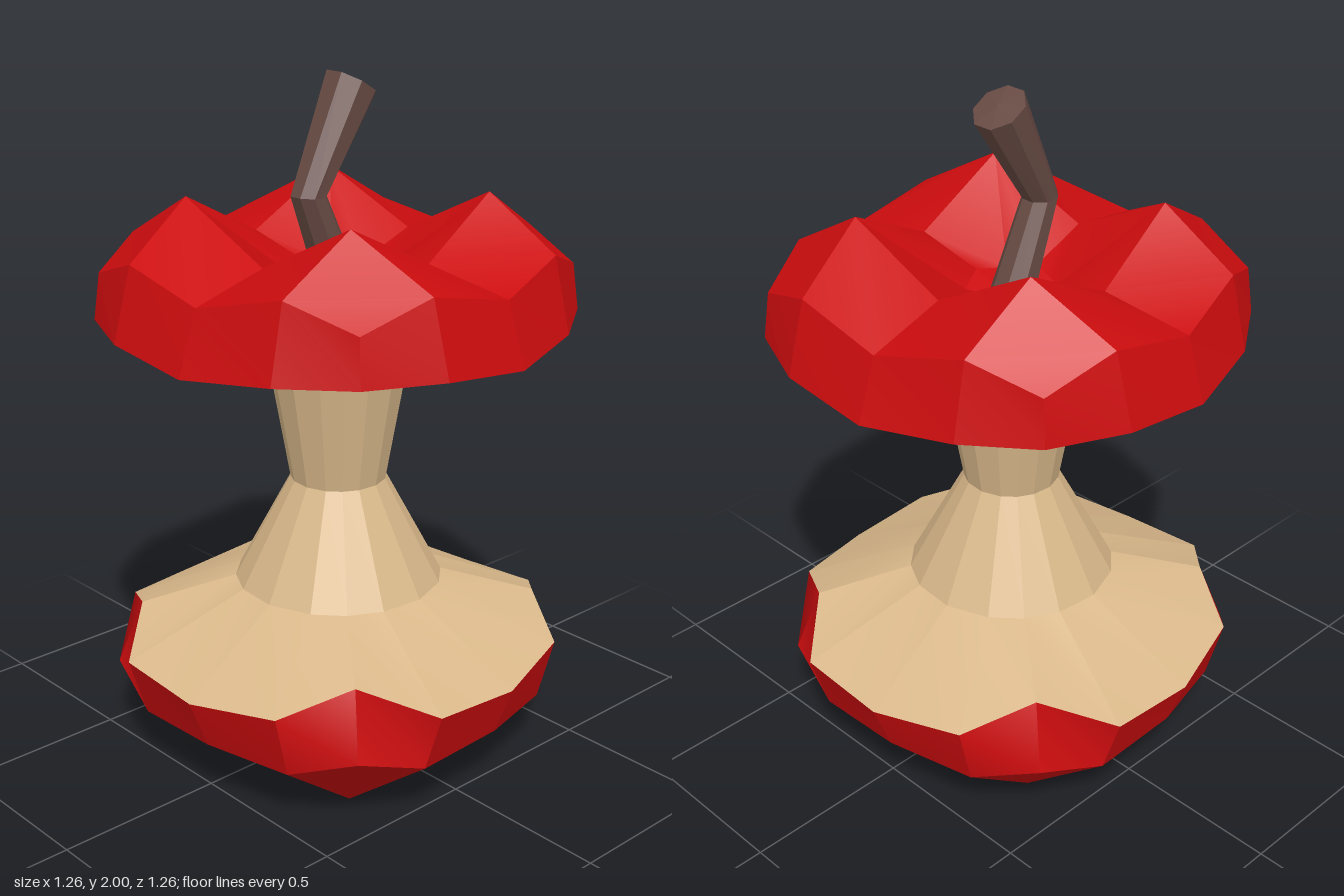
import * as THREE from 'three';

const material = (name, color) => {
  const m = new THREE.MeshStandardMaterial({ color });
  m.name = name;
  return m;
};

// Repeat four [x, y, z] style corner points around the y axis
function fourfold(points) {
  const out = [];
  for (let k = 0; k < 4; k++) {
    for (const p of points) {
      out.push(new THREE.Vector3(...p).applyAxisAngle(new THREE.Vector3(0, 1, 0), -k * Math.PI / 2));
    }
  }
  return out;
}

// Each face keeps its own corners, so edges stay hard while bent quads shade softly
function facesMesh(name, faces, mat, flip = false) {
  const pos = [], index = [];
  for (const face of faces) {
    const base = pos.length / 3;
    const corners = flip ? [...face].reverse() : face;
    for (const p of corners) pos.push(p.x, p.y, p.z);
    for (let i = 1; i < corners.length - 1; i++) index.push(base, base + i, base + i + 1);
  }
  const g = new THREE.BufferGeometry();
  g.setAttribute('position', new THREE.Float32BufferAttribute(pos, 3));
  g.setIndex(index);
  g.computeVertexNormals();
  const mesh = new THREE.Mesh(g, mat);
  mesh.name = name;
  return mesh;
}

// Quads joining each ring to the next
function loft(rings) {
  const faces = [];
  for (let r = 0; r < rings.length - 1; r++) {
    const a = rings[r], b = rings[r + 1], n = a.length;
    for (let i = 0; i < n; i++) {
      const j = (i + 1) % n;
      faces.push([a[i], b[i], b[j], a[j]]);
    }
  }
  return faces;
}

const fan = (ring, tip) => ring.map((p, i) => [p, tip, ring[(i + 1) % ring.length]]);

// Skin cap: cut rim, shoulder, four lobes, then a dimple in the middle
function skinCap(name, rim, shoulder, lobes, hollow, tip, mat, flip) {
  const faces = loft([rim, shoulder]);
  for (let k = 0; k < 4; k++) {
    const s = i => shoulder[(4 * k + i) % 16];
    const l = i => lobes[(2 * k + i) % 8];
    faces.push([s(0), l(0), l(1), s(1)]);
    faces.push([s(1), l(1), s(3), s(2)]);
    faces.push([s(3), l(1), l(2), s(4)]);
  }
  faces.push(...loft([lobes, hollow]), ...fan(hollow, tip));
  return facesMesh(name, faces, mat, flip);
}

export function createModel() {
  const red = material('apple skin red', 0xcc0c0e);
  const cream = material('apple flesh tan', 0xd9b88a);
  const brown = material('stem brown', 0x674a43);

  const model = new THREE.Group();
  model.name = 'appleCore';

  // Cut edges of the skin
  const topRim = fourfold([[0.63, 1.28, -0.08], [0.63, 1.31, 0.2], [0.54, 1.315, 0.42], [0.35, 1.305, 0.55]]);
  const lowRim = fourfold([[0.63, 0.34, -0.08], [0.63, 0.36, 0.2], [0.46, 0.44, 0.36], [0.35, 0.37, 0.55]]);

  // Upper skin
  model.add(skinCap('upperSkin', topRim,
    fourfold([[0.57, 1.46, -0.08], [0.57, 1.52, 0.2], [0.525, 1.45, 0.41], [0.34, 1.52, 0.5]]),
    fourfold([[0.31, 1.51, -0.04], [0.33, 1.66, 0.26]]),
    fourfold([[0.12, 1.45, -0.02], [0.1, 1.43, 0.08]]),
    new THREE.Vector3(0, 1.38, 0), red, false));

  // Lower skin
  model.add(skinCap('lowerSkin', lowRim,
    fourfold([[0.57, 0.19, -0.08], [0.57, 0.18, 0.2], [0.52, 0.25, 0.405], [0.34, 0.18, 0.5]]),
    fourfold([[0.31, 0.025, -0.04], [0.33, 0, 0.26]]),
    fourfold([[0.12, 0.12, -0.02], [0.1, 0.12, 0.08]]),
    new THREE.Vector3(0, 0.15, 0), red, true));

  // Bitten flesh between the two rims
  const fleshRing = (radius, y) => topRim.map(p => {
    const s = radius / Math.hypot(p.x, p.z);
    return new THREE.Vector3(p.x * s, y, p.z * s);
  });
  model.add(facesMesh('flesh', loft([
    lowRim, fleshRing(0.305, 0.52), fleshRing(0.14, 0.83), fleshRing(0.215, 1.26), topRim,
  ]), cream));

  // Bent stem: centre x, y, radius, and tilt of each ring
  const stemRings = [
    [0.02, 1.36, 0.068, 0], [-0.11, 1.67, 0.052, -0.05], [0.045, 1.96, 0.078, -0.55],
  ].map(([x, y, r, tilt]) => Array.from({ length: 8 }, (_, i) => {
    const a = (i + 0.5) * Math.PI / 4;
    return new THREE.Vector3(
      x + r * Math.cos(a) * Math.cos(tilt), y + r * Math.cos(a) * Math.sin(tilt), r * Math.sin(a));
  }));
  model.add(facesMesh('stem', [
    ...loft(stemRings), ...fan(stemRings[2], new THREE.Vector3(0.05, 1.968, 0)),
  ], brown));

  return model;
}
